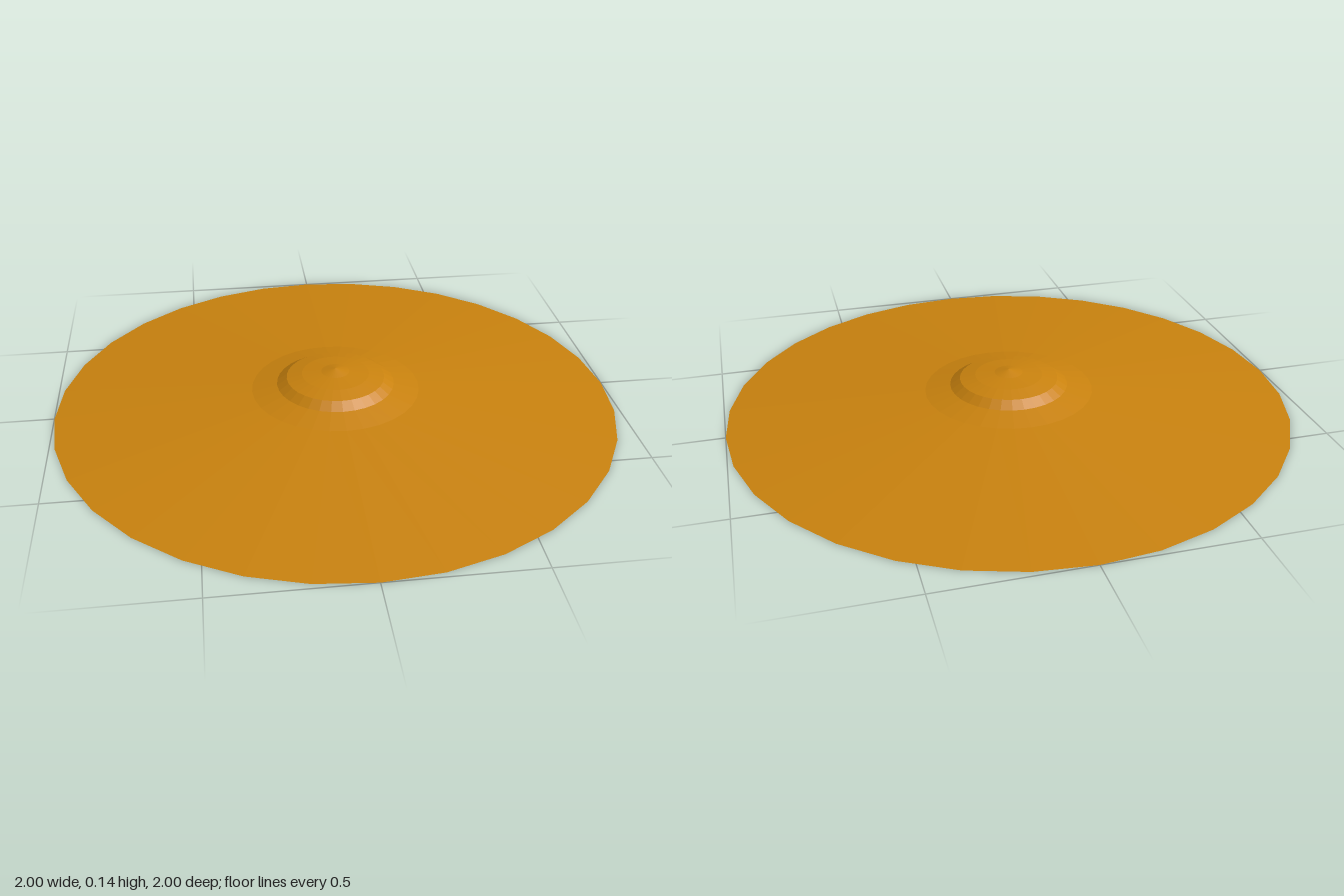
import * as THREE from 'three';

export function createModel() {
  const group = new THREE.Group();
  group.name = 'cymbal';
  const material = new THREE.MeshStandardMaterial({ color: 0xc9820e, flatShading: true });
  const SIDES = 32;

  // Revolves a profile of [radius, height] pairs, listed from the bottom up
  function addLathe(name, profile) {
    const points = profile.map(([r, y]) => new THREE.Vector2(r, y));
    const mesh = new THREE.Mesh(new THREE.LatheGeometry(points, SIDES), material);
    mesh.name = name;
    group.add(mesh);
  }

  // Shallow conical plate
  addLathe('bow', [[1, 0], [0.3, 0.06]]);

  // Raised centre: flared foot, steep shoulder, domed crown and small tip
  addLathe('bell', [
    [0.3, 0.06], [0.21, 0.08], [0.175, 0.103],
    [0.12, 0.115], [0.05, 0.123], [0, 0.135],
  ]);

  // Flat underside closing the plate
  const underside = new THREE.Mesh(new THREE.CircleGeometry(1, SIDES), material);
  underside.rotation.x = Math.PI / 2;
  underside.name = 'underside';
  group.add(underside);

  return group;
}
